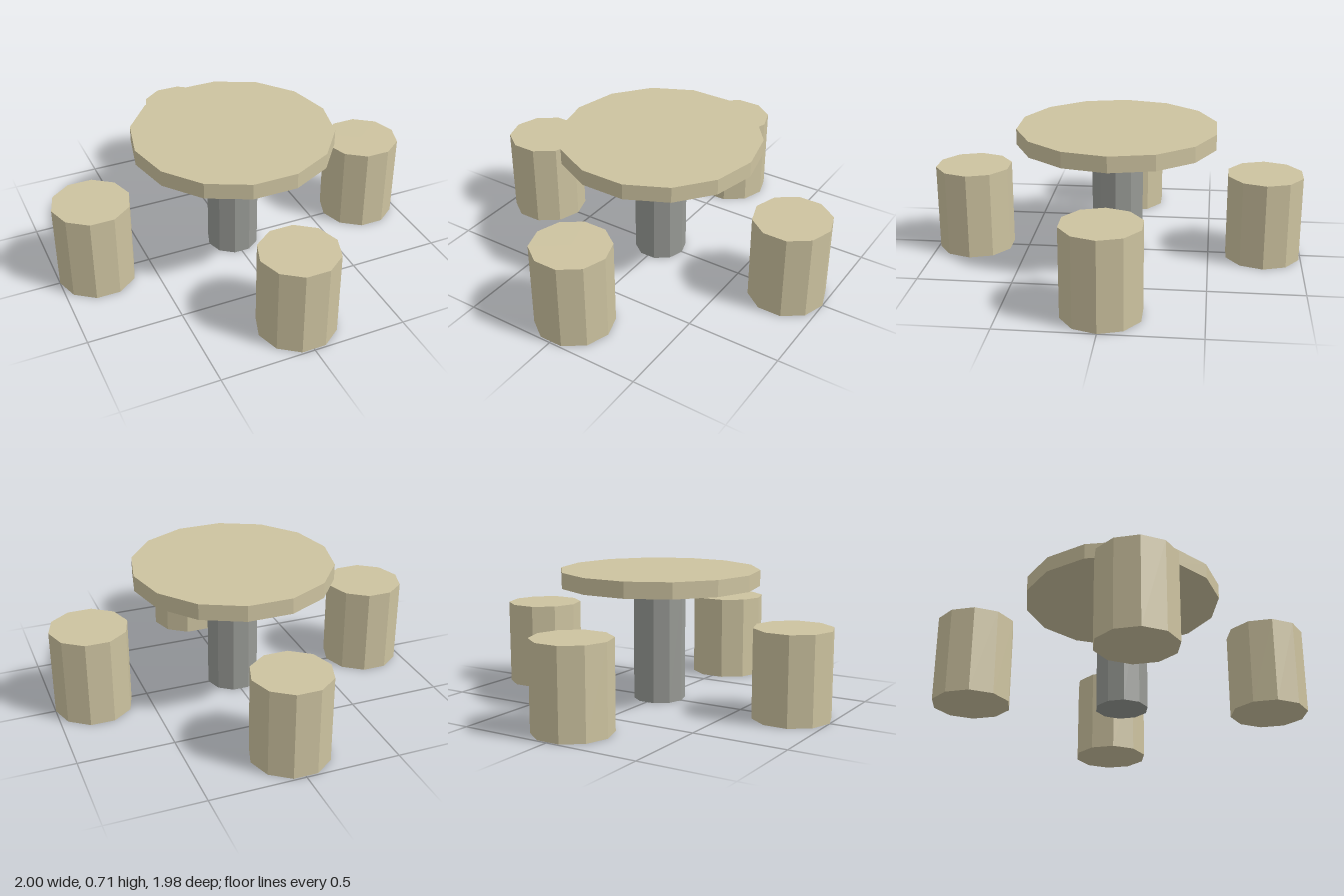
import * as THREE from 'three';

const stone = new THREE.MeshStandardMaterial({ color: 0xcdc3a0, flatShading: true });
const metal = new THREE.MeshStandardMaterial({ color: 0x989a95, flatShading: true });

// Upright prism with a corner pointing along +x, standing at height y0
function prism(name, radius, y0, y1, sides, material) {
  const geometry = new THREE.CylinderGeometry(radius, radius, y1 - y0, sides);
  geometry.rotateY(Math.PI / 2);
  geometry.translate(0, (y0 + y1) / 2, 0);
  const mesh = new THREE.Mesh(geometry, material);
  mesh.name = name;
  return mesh;
}

export function createModel() {
  const group = new THREE.Group();
  group.name = 'tableWithStools';

  // Table: round top on a single column
  group.add(prism('tableTop', 0.54, 0.627, 0.712, 14, stone));
  group.add(prism('tableColumn', 0.14, 0, 0.627, 10, metal));

  // Four stools around the table, all turned the same way
  const places = { stoolLeft: [1, 0], stoolRight: [-1, 0], stoolFront: [0, 1], stoolBack: [0, -1] };
  for (const [name, [x, z]] of Object.entries(places)) {
    const stool = prism(name, 0.207, 0, 0.467, 10, stone);
    stool.position.set(x * 0.793, 0, z * 0.793);
    group.add(stool);
  }
  return group;
}
